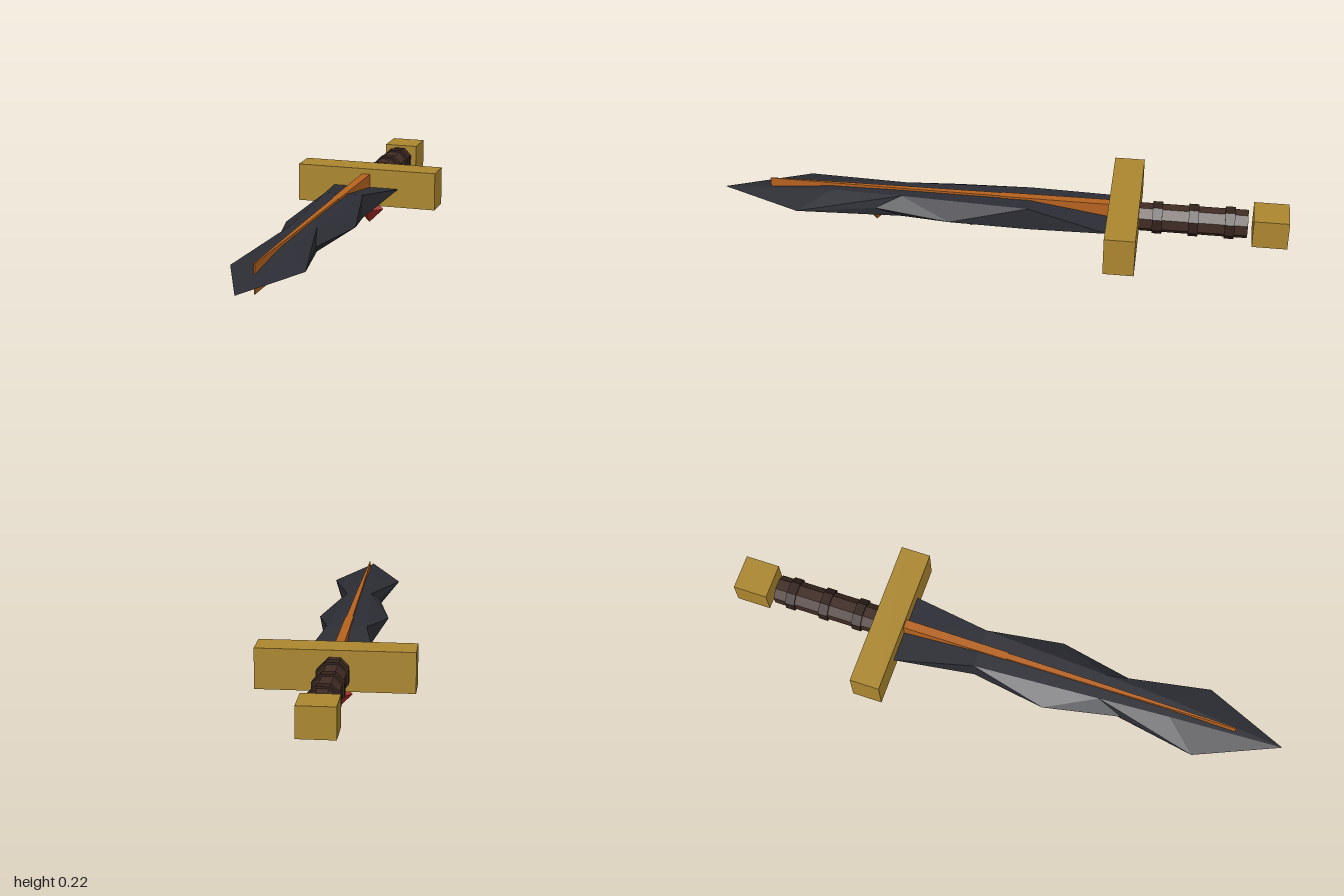
import * as THREE from 'three';

const mat = (name, color) => {
  const m = new THREE.MeshStandardMaterial({ color });
  m.name = name;
  m.flatShading = true;
  return m;
};

const MID = 0.15; // height of the sword's axis

// One quarter of the faceted blade, mirrored to all four quarters
function bladeGeometry() {
  const p = {
    e0: [0.125, 0, -0.38], e1: [0.07, 0, -0.1], e2: [0.125, 0, 0.17],
    e3: [0.07, 0, 0.44], e4: [0.125, 0, 0.71], tip: [0, 0, 1],
    t1: [0.07, 0.042, -0.1], t2: [0.045, 0.042, 0.35], t3: [0.03, 0.038, 0.6],
    c0: [0, 0, -0.38], c1: [0, 0.042, -0.1], c2: [0, 0.042, 0.35], c3: [0, 0.038, 0.6],
  };
  const faces = [
    'e0 e1 t1', 'e1 e2 t1', 't1 e2 t2', 'e2 e3 t2', 'e3 e4 t2', 't2 e4 t3', 't3 e4 tip',
    'c0 e0 t1', 'c0 t1 c1', 'c1 t1 t2', 'c1 t2 c2', 'c2 t2 t3', 'c2 t3 c3', 'c3 t3 tip',
  ];
  const pos = [];
  const normal = new THREE.Vector3();
  for (const sx of [1, -1]) for (const sy of [1, -1]) for (const f of faces) {
    const tri = f.split(' ').map(k => new THREE.Vector3(p[k][0] * sx, p[k][1] * sy, p[k][2]));
    new THREE.Triangle(...tri).getNormal(normal);
    if (normal.x * sx + normal.y * sy < 0) tri.reverse(); // keep faces outward
    tri.forEach(v => pos.push(v.x, v.y, v.z));
  }
  const g = new THREE.BufferGeometry();
  g.setAttribute('position', new THREE.Float32BufferAttribute(pos, 3));
  g.computeVertexNormals();
  return g;
}

// Tapered central rib, drawn in plan and extruded upward
function ribGeometry() {
  const half = [[-0.38, 0.016], [0, 0.014], [0, 0.011], [0.35, 0.008], [0.83, 0.002]];
  const outline = [
    ...half.map(([z, w]) => new THREE.Vector2(w, -z)),
    ...half.slice().reverse().map(([z, w]) => new THREE.Vector2(-w, -z)),
  ];
  const g = new THREE.ExtrudeGeometry(new THREE.Shape(outline), { depth: 0.098, bevelEnabled: false });
  return g.rotateX(-Math.PI / 2);
}

export function createModel() {
  const group = new THREE.Group();
  const gold = mat('gold', 0xab862f);
  const steel = mat('dark steel', 0x2d2e35);
  const ember = mat('ember orange', 0xb5621f);
  const red = mat('gem red', 0xa52c24);
  const leather = mat('brown leather', 0x402c24);
  const binding = mat('dark binding', 0x33221c);

  const add = (name, geometry, material, x, y, z) => {
    const m = new THREE.Mesh(geometry, material);
    m.name = name;
    m.position.set(x, y, z);
    group.add(m);
    return m;
  };

  // Blade and rib
  add('blade', bladeGeometry(), steel, 0, MID, 0);
  add('bladeRib', ribGeometry(), ember, 0, 0.102, 0);

  // Guard and pommel
  add('guard', new THREE.BoxGeometry(0.53, 0.14, 0.106), gold, 0, MID, -0.432);
  add('pommel', new THREE.BoxGeometry(0.125, 0.104, 0.122), gold, 0, MID, -0.939);

  // Octagonal grip with three bindings
  const rod = (r, length) =>
    new THREE.CylinderGeometry(r, r, length, 8).rotateY(Math.PI / 8).rotateX(Math.PI / 2);
  add('grip', rod(0.05, 0.38), leather, 0, MID, -0.67);
  for (const z of [-0.548, -0.673, -0.798]) add('gripBinding', rod(0.057, 0.034), binding, 0, MID, z);

  // Gems on the underside
  add('guardGem', new THREE.OctahedronGeometry(0.054), red, 0, 0.055, -0.43);
  add('bladeGem', new THREE.OctahedronGeometry(0.047), red, 0, 0.106, 0.11);
  add('tipGem', new THREE.OctahedronGeometry(0.047), ember, 0, 0.106, 0.45);

  return group;
}
